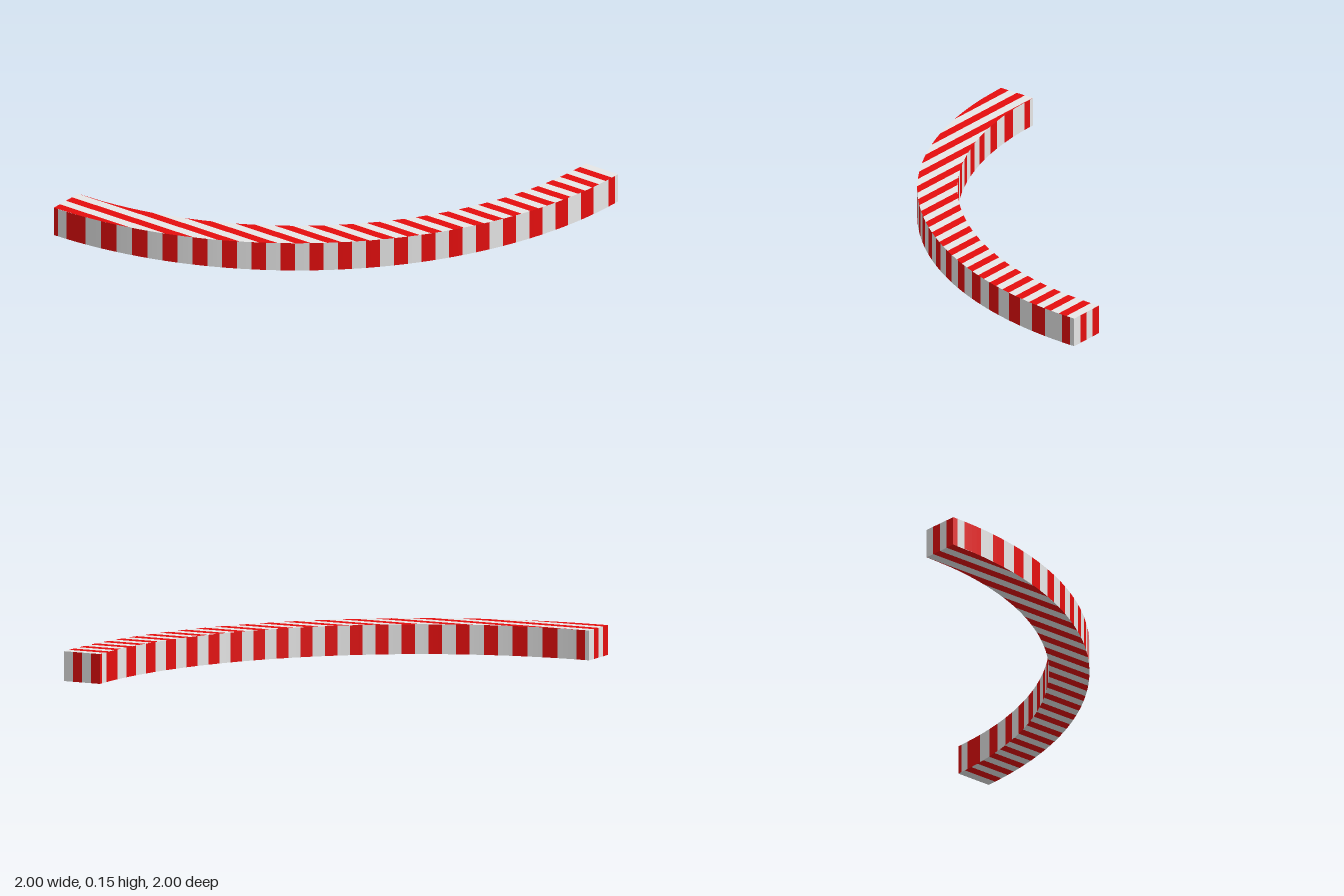
import * as THREE from 'three';

const HEIGHT = 0.15, OUTER = 2, INNER = 1.8; // quarter ring centred on x = 1, z = -1
const STRIPE = 0.05;

// A part made of quads, sorted into one red and one white mesh
class StripedPart {
  constructor(name, materials) {
    this.name = name;
    this.materials = materials;
    this.points = { red: [], white: [] };
  }
  quad(color, a, b, c, d) {
    this.points[color].push(...a, ...b, ...c, ...a, ...c, ...d);
  }
  // upright quad from ground point p (left) to q (right), as [x, z]
  wall(color, p, q) {
    this.quad(color, [p[0], 0, p[1]], [q[0], 0, q[1]], [q[0], HEIGHT, q[1]], [p[0], HEIGHT, p[1]]);
  }
  build() {
    const group = new THREE.Group();
    group.name = this.name;
    for (const color of ['red', 'white']) {
      const geometry = new THREE.BufferGeometry();
      geometry.setAttribute('position', new THREE.Float32BufferAttribute(this.points[color], 3));
      geometry.computeVertexNormals();
      const mesh = new THREE.Mesh(geometry, this.materials[color]);
      mesh.name = `${this.name} ${color} stripes`;
      group.add(mesh);
    }
    return group;
  }
}

// Front edge of a ring of radius r at x
const edgeZ = (r, x) => -1 + Math.sqrt(Math.max(0, r * r - (1 - x) ** 2));

// Bands of the curved walls: diagonal stripes, tightest in the middle of the arc
function wallBands() {
  const angle = k => Math.acos((2 - 0.1 * k) / Math.SQRT2 / 2) - Math.PI / 4;
  const bands = [];
  for (let k = 1; k < 39; k++) {
    bands.push([angle(k), angle(k + 1), k % 2 ? 'white' : 'red']);
  }
  // narrow stripes at both ends
  const ends = [0, 0.0135, 0.0385, angle(1)];
  for (let i = 0; i < 3; i++) {
    bands.push([ends[i], ends[i + 1], i === 1 ? 'red' : 'white']);
    bands.push([Math.PI / 2 - ends[i + 1], Math.PI / 2 - ends[i], i === 1 ? 'white' : 'red']);
  }
  return bands;
}

export function createModel() {
  const red = new THREE.MeshStandardMaterial({ color: 0xe60e0e });
  red.name = 'red paint';
  const white = new THREE.MeshStandardMaterial({ color: 0xe8e8e8 });
  white.name = 'white paint';
  const part = name => new StripedPart(name, { red, white });

  const top = part('top'), underside = part('underside');
  const outerWall = part('outerWall'), innerWall = part('innerWall');
  const frontEnd = part('frontEnd'), backEnd = part('backEnd');

  // Top and underside: straight stripes across x
  const sub = 8;
  for (let i = 0; i < 40; i++) {
    const color = i % 2 ? 'white' : 'red';
    for (let j = 0; j < sub; j++) {
      const x0 = -1 + STRIPE * (i + j / sub), x1 = -1 + STRIPE * (i + (j + 1) / sub);
      const corners = y => [
        [x0, y, edgeZ(OUTER, x0)], [x1, y, edgeZ(OUTER, x1)],
        [x1, y, edgeZ(INNER, x1)], [x0, y, edgeZ(INNER, x0)],
      ];
      top.quad(color, ...corners(HEIGHT));
      underside.quad(color, ...corners(0).reverse());
    }
  }

  // Curved walls: the outer runs from the front end, the inner from the back end
  const outerPoint = a => [1 - OUTER * Math.sin(a), -1 + OUTER * Math.cos(a)];
  const innerPoint = a => [1 - INNER * Math.cos(a), -1 + INNER * Math.sin(a)];
  for (const [a0, a1, color] of wallBands()) {
    const steps = 3;
    for (let j = 0; j < steps; j++) {
      const s = a0 + (a1 - a0) * j / steps, e = a0 + (a1 - a0) * (j + 1) / steps;
      outerWall.wall(color, outerPoint(e), outerPoint(s));
      innerWall.wall(color, innerPoint(e), innerPoint(s));
    }
  }

  // Flat ends
  for (let i = 0; i < 4; i++) {
    const color = i % 2 ? 'white' : 'red';
    const s = STRIPE * i, e = STRIPE * (i + 1);
    frontEnd.wall(color, [1, 0.8 + e], [1, 0.8 + s]);
    backEnd.wall(color, [-1 + e, -1], [-1 + s, -1]);
  }

  const model = new THREE.Group();
  model.name = 'curvedKerb';
  for (const p of [top, underside, outerWall, innerWall, frontEnd, backEnd]) model.add(p.build());
  return model;
}
